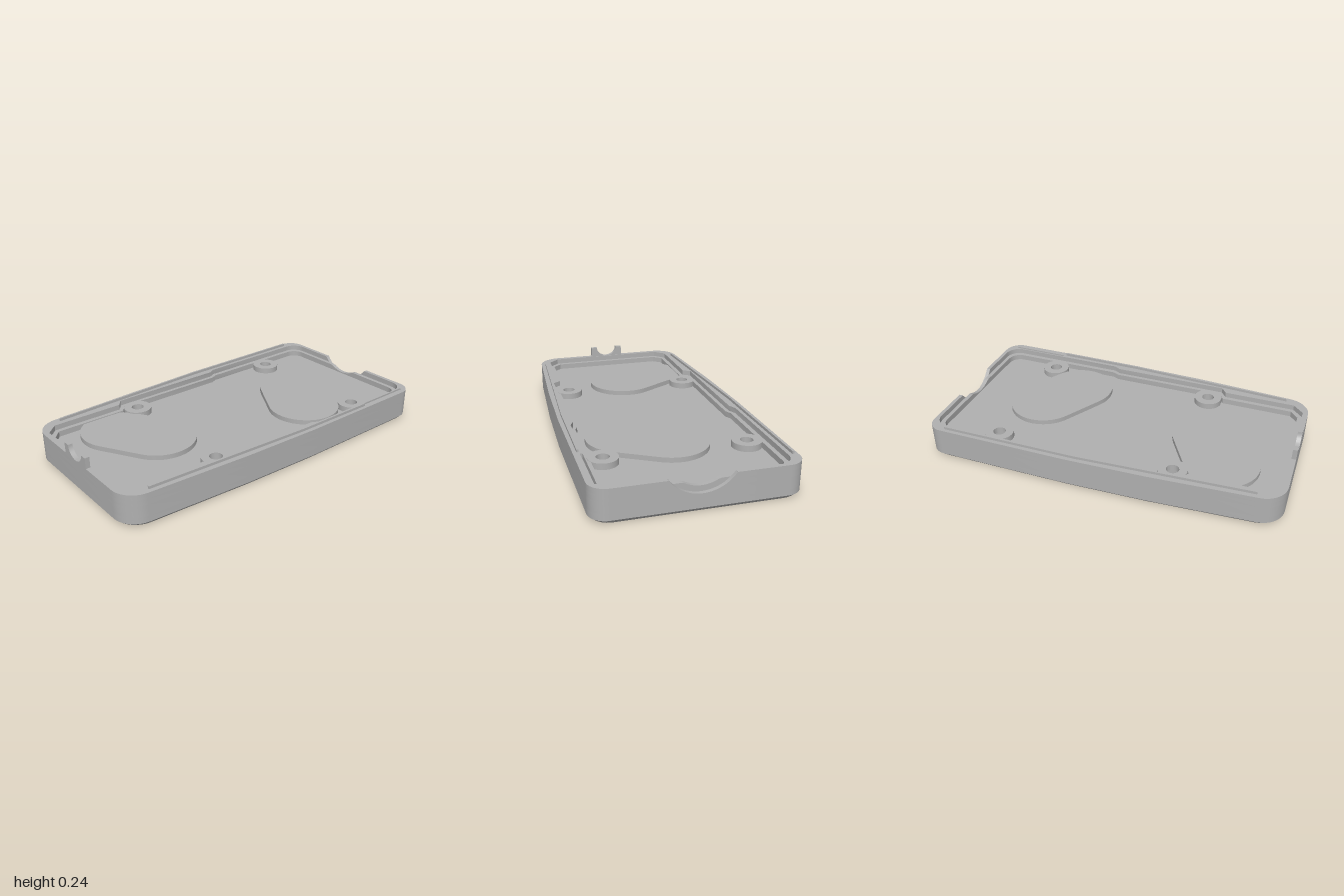
import * as THREE from 'three';
import { toCreasedNormals } from 'three/addons/utils/BufferGeometryUtils.js';

const CHAMFER = 0.02, LIP = 0.055, POCKET = 0.118, FLOOR = 0.118, LEDGE = 0.15, RIM = 0.18;
const GAP = 0.165, BACK = -0.978;
const V = (x, y) => new THREE.Vector2(x, y);

// Half profile [x, z, cornerRadius] from back to front, rounded and mirrored.
function roundPath(half) {
  const out = [];
  half.forEach(([x, z, r], i) => {
    const p = V(x, z);
    if (!r) { out.push(p); return; }
    const toward = (q, d) => p.clone().add(q.clone().sub(p).setLength(d));
    const prev = V(half[i - 1][0], half[i - 1][1]);
    const next = i + 1 < half.length ? V(half[i + 1][0], half[i + 1][1]) : V(0, z);
    const curve = new THREE.CubicBezierCurve(
      toward(prev, r), toward(prev, r * 0.45), toward(next, r * 0.45), toward(next, r));
    out.push(...curve.getPoints(10));
  });
  return [...out, ...out.map(p => V(-p.x, p.y)).reverse()];
}

const outline = roundPath([
  [GAP, -1], [0.525, -1, 0.09], [0.525, -0.15], [0.51, 0.3], [0.465, 1, 0.12]]);
const notchedOutline = [...outline, V(-GAP, BACK), V(GAP, BACK)];
const upperCavity = roundPath([
  [GAP, BACK], [0.472, BACK, 0.08], [0.472, -0.24], [0.452, -0.2], [0.452, 0.47],
  [0.41, 0.5], [0.41, 0.91], [0.35, 0.97]]);
const lowerCavity = roundPath([
  [GAP, -0.955], [0.447, -0.955, 0.07], [0.447, -0.24], [0.43, -0.2], [0.43, 0.46],
  [0.385, 0.49], [0.385, 0.9], [0.335, 0.945]]);

function circle(x, z, r) {
  return Array.from({ length: 40 }, (_, i) => {
    const a = i / 40 * Math.PI * 2;
    return V(x + r * Math.cos(a), z + r * Math.sin(a));
  });
}

// Outline around two circles a and b [x, z]: a stadium or a keyhole.
function slot(a, ra, b, rb) {
  const neck = Math.min(ra, rb);
  const dir = Math.atan2(b[1] - a[1], b[0] - a[0]);
  const pts = [];
  const arc = (c, r, mid) => {
    const h = Math.PI - Math.asin(neck / r);
    for (let i = 0; i <= 28; i++) {
      const t = mid - h + 2 * h * i / 28;
      pts.push(V(c[0] + r * Math.cos(t), c[1] + r * Math.sin(t)));
    }
  };
  arc(a, ra, dir + Math.PI);
  arc(b, rb, dir);
  return pts;
}

export function createModel() {
  const model = new THREE.Group();
  const grey = new THREE.MeshStandardMaterial({ color: 0xb0b0b0 });

  function add(name, geometry, parent = model) {
    const mesh = new THREE.Mesh(toCreasedNormals(geometry, 0.5), grey);
    mesh.name = name;
    parent.add(mesh);
  }
  // Horizontal layer between two heights
  function slab(points, y0, y1, holes = []) {
    const shape = new THREE.Shape(points);
    shape.holes = holes.map(h => new THREE.Path(h));
    return new THREE.ExtrudeGeometry(shape, { depth: y1 - y0, bevelEnabled: false })
      .rotateX(Math.PI / 2).translate(0, y1, 0);
  }
  // Upright plate between two depths
  function plate(points, z0, z1) {
    return new THREE.ExtrudeGeometry(new THREE.Shape(points), { depth: z1 - z0, bevelEnabled: false })
      .translate(0, 0, z0);
  }

  const screws = [[0.38, -0.613], [-0.38, -0.613], [0.37, 0.403], [-0.37, 0.403]];
  const hangers = [
    { small: [0, -0.505], big: [0.215, -0.38] },
    { small: [0, 0.505], big: [-0.215, 0.63] }];

  // Thick floor with counterbores, keyholes and undercut pockets; the lowest edge is chamfered
  const bores = screws.map(([x, z]) => circle(x, z, 0.063));
  const keyholes = hangers.map(h => slot(h.small, 0.075, h.big, 0.165));
  const pockets = hangers.map(h => slot(h.small, 0.165, h.big, 0.165));
  const chamfer = slab(outline, 0, CHAMFER, [...bores, ...keyholes]);
  const pos = chamfer.attributes.position;
  for (let i = 0; i < pos.count; i++) {
    const x = pos.getX(i), z = pos.getZ(i);
    if (pos.getY(i) < 0.001 && (Math.abs(x) > 0.446 || Math.abs(z) > 0.85)) {
      pos.setX(i, x * 0.964);
      pos.setZ(i, z * 0.982);
    }
  }
  add('floorChamfer', chamfer);
  add('floorLower', slab(notchedOutline, CHAMFER, LIP, [...bores, ...keyholes]));
  add('floorUpper', slab(notchedOutline, LIP, FLOOR, [...bores, ...pockets]));

  // Walls, open at the back, with a stepped ledge inside
  const wall = inner => [...outline, ...inner.slice().reverse()];
  const sideSlot = [V(0.479, -0.94), V(0.492, -0.94), V(0.492, -0.61), V(0.479, -0.61)];
  add('lowerWall', slab(wall(lowerCavity), FLOOR, LEDGE));
  add('upperWall', slab(wall(upperCavity), LEDGE, RIM, [sideSlot]));

  // Back wall with an arched cable notch, smaller on the inside
  const notched = (base, top, r) => {
    const pts = [V(-GAP, base), V(GAP, base)];
    for (let i = 0; i <= 24; i++) {
      const x = GAP - 2 * GAP * i / 24;
      pts.push(V(x, Math.min(top, 0.298 - Math.sqrt(r * r - x * x))));
    }
    return pts;
  };
  add('backNotchOuter', plate(notched(CHAMFER, RIM, 0.203), -1, BACK));
  add('backNotchInner', plate(notched(FLOOR - 0.005, LEDGE, 0.173), BACK, -0.955));

  // Front cable cradle
  const cradle = [V(-0.105, RIM - 0.01), V(0.105, RIM - 0.01), V(0.105, 0.24)];
  for (let i = 0; i <= 24; i++) {
    const a = Math.PI * i / 24;
    cradle.push(V(0.067 * Math.cos(a), 0.24 - 0.0595 * Math.sin(a)));
  }
  cradle.push(V(-0.105, 0.24));
  add('frontCradle', plate(cradle, 0.975, 1));

  // Sealing ribs on the side rims
  for (const [side, back] of [[1, -0.59], [-1, -0.89]]) {
    const line = [[0.5, back], [0.496, -0.1], [0.445, 0.86]];
    const rib = [
      ...line.map(([x, z]) => V(side * (x + 0.005), z)),
      ...line.slice().reverse().map(([x, z]) => V(side * (x - 0.006), z))];
    add(side > 0 ? 'leftRib' : 'rightRib', slab(rib, RIM, 0.195));
  }

  // Screw bosses above the counterbores
  for (const [x, z] of screws) {
    add('screwBoss', slab(circle(x, z, 0.08), FLOOR, 0.152, [circle(x, z, 0.035)]));
  }

  // Raised covers over the hanging pockets
  for (const { small, big } of hangers) {
    add('hangerCover', slab(slot(small, 0.206, big, 0.206), POCKET, 0.145));
  }
  return model;
}
